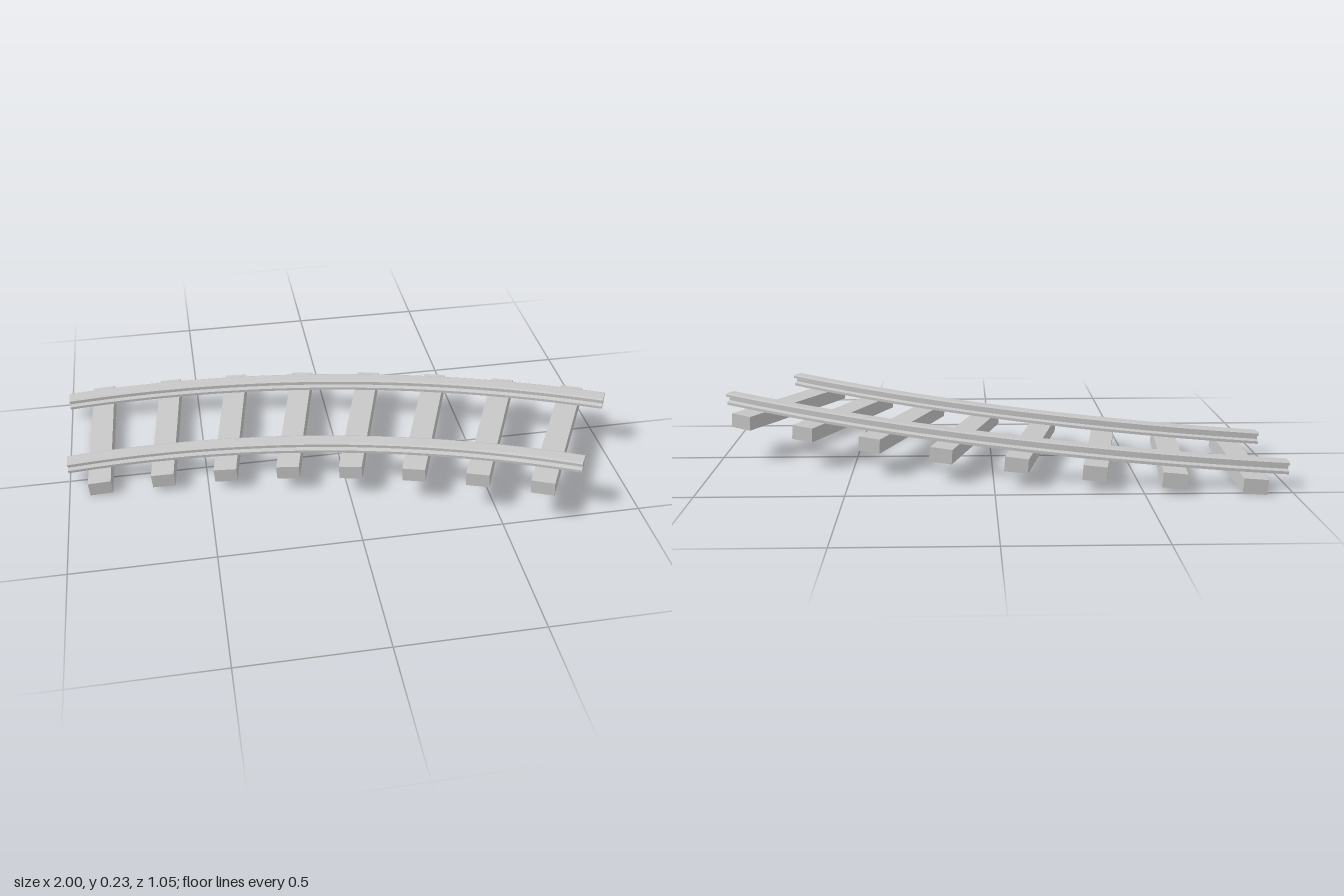
import * as THREE from 'three';
import { toCreasedNormals } from 'three/addons/utils/BufferGeometryUtils.js';

const SWEEP = Math.PI / 6; // 30 degree bend
const RADIUS = 3.765;      // track centre line
const CX = -1, CZ = 3.55;  // centre of the bend
const RISE = 0.135;        // climb over the whole bend
const HALF_GAUGE = 0.205;

// Point on the climbing bend: radius r, height y above the ramp, t from 0 to 1
function onBend(r, y, t) {
  const a = t * SWEEP;
  return new THREE.Vector3(CX + r * Math.sin(a), y + RISE * t, CZ - r * Math.cos(a));
}

// Rail section: narrow foot, thin web, wide head with bevelled top
function railShape() {
  const half = [[0.022, 0], [0.022, 0.010], [0.009, 0.016], [0.009, 0.029],
    [0.028, 0.033], [0.028, 0.041], [0.020, 0.045]];
  const left = half.map(([x, y]) => [-x, y]).reverse();
  return new THREE.Shape([...half, ...left].map(([x, y]) => new THREE.Vector2(x, y)));
}

// Straight extrusion bent along the ramp
function railGeometry(radius) {
  const geo = new THREE.ExtrudeGeometry(railShape(), { depth: 1, steps: 32, bevelEnabled: false });
  const pos = geo.attributes.position;
  for (let i = 0; i < pos.count; i++) {
    const p = onBend(radius + pos.getX(i), 0.047 + pos.getY(i), pos.getZ(i));
    pos.setXYZ(i, p.x, p.y, p.z);
  }
  return toCreasedNormals(geo, 0.2);
}

export function createModel() {
  const model = new THREE.Group();
  model.name = 'curvedTrack';
  const grey = new THREE.MeshStandardMaterial({ color: 0xc6c6c6 });
  grey.name = 'lightGrey';

  // Rails
  for (const [name, side] of [['outerRail', 1], ['innerRail', -1]]) {
    const rail = new THREE.Mesh(railGeometry(RADIUS + side * HALF_GAUGE), grey);
    rail.name = name;
    model.add(rail);
  }

  // Sleepers, turned with the bend and tilted with the climb
  const COUNT = 8;
  const slope = Math.atan(RISE / (RADIUS * SWEEP));
  const box = new THREE.BoxGeometry(0.082, 0.052, 0.62);
  for (let i = 0; i < COUNT; i++) {
    const t = (i + 0.5) / COUNT;
    const sleeper = new THREE.Mesh(box, grey);
    sleeper.name = 'sleeper' + (i + 1);
    sleeper.position.copy(onBend(RADIUS, 0.0205, t));
    sleeper.rotation.set(0, -t * SWEEP, slope, 'YXZ');
    model.add(sleeper);
  }
  return model;
}
